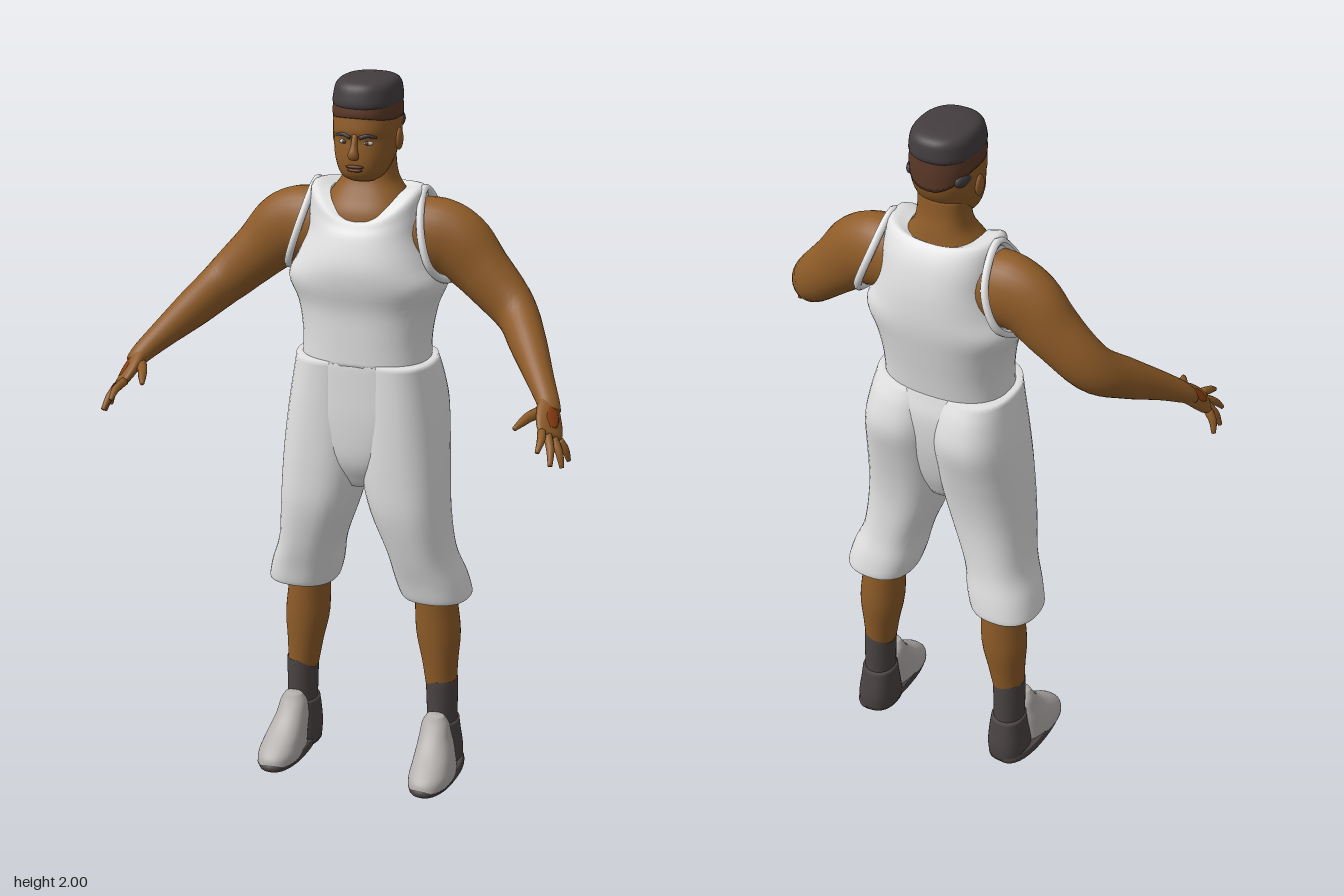
import * as THREE from 'three';

const mat = (name, color) => {
  const m = new THREE.MeshStandardMaterial({ color });
  m.name = name;
  return m;
};

// Closed skin over a list of rings (arrays of Vector3 with equal length)
function skin(rings, capEnd = true) {
  const n = rings[0].length, pos = [], idx = [];
  rings.forEach(r => r.forEach(p => pos.push(p.x, p.y, p.z)));
  for (let i = 0; i < rings.length - 1; i++) {
    for (let j = 0; j < n; j++) {
      const a = i * n + j, b = i * n + (j + 1) % n;
      idx.push(a, a + n, b, b, a + n, b + n);
    }
  }
  const cap = (ring, start, flip) => {
    const c = ring.reduce((s, p) => s.add(p), new THREE.Vector3()).divideScalar(n);
    const k = pos.length / 3;
    pos.push(c.x, c.y, c.z);
    for (let j = 0; j < n; j++) {
      const a = start + j, b = start + (j + 1) % n;
      if (flip) idx.push(k, b, a); else idx.push(k, a, b);
    }
  };
  cap(rings[0], 0, false);
  if (capEnd) cap(rings[rings.length - 1], (rings.length - 1) * n, true);
  const g = new THREE.BufferGeometry();
  g.setAttribute('position', new THREE.Float32BufferAttribute(pos, 3));
  g.setIndex(idx);
  g.computeVertexNormals();
  return g;
}

const curveOf = pts => new THREE.CatmullRomCurve3(pts, false, 'catmullrom', 0.5);

// Upright loft, rows: [y, centreX, halfWidth, frontZ, backZ, frontDip, backDip]
function loft(rows, { n = 36, sub = 4, e = 0.85, capEnd = true } = {}) {
  const A = curveOf(rows.map(r => new THREE.Vector3(r[0], r[1], r[2])));
  const B = curveOf(rows.map(r => new THREE.Vector3(r[3], r[4], 0)));
  const C = curveOf(rows.map(r => new THREE.Vector3(r[5] || 0, r[6] || 0, 0)));
  const rings = [], steps = (rows.length - 1) * sub;
  const pw = v => Math.sign(v) * Math.pow(Math.abs(v), e);
  for (let i = 0; i <= steps; i++) {
    const t = i / steps, a = A.getPoint(t), b = B.getPoint(t), d = C.getPoint(t), ring = [];
    for (let j = 0; j < n; j++) {
      const q = j / n * Math.PI * 2, s = Math.sin(q);
      ring.push(new THREE.Vector3(
        a.y + a.z * pw(Math.cos(q)),
        a.x - (s > 0 ? d.x : d.y) * s * s,
        (b.x + b.y) / 2 + (b.x - b.y) / 2 * pw(s)));
    }
    rings.push(ring);
  }
  return skin(rings, capEnd);
}

// Limb along a path, rows: [x, y, z, sideRadius, refRadius]
function limb(rows, ref = new THREE.Vector3(0, 1, 0), n = 20, sub = 4) {
  const A = curveOf(rows.map(r => new THREE.Vector3(r[0], r[1], r[2])));
  const B = curveOf(rows.map(r => new THREE.Vector3(r[3], r[4], 0)));
  const rings = [], steps = (rows.length - 1) * sub;
  for (let i = 0; i <= steps; i++) {
    const t = i / steps, c = A.getPoint(t), r = B.getPoint(t), dir = A.getTangent(t);
    const S = new THREE.Vector3().crossVectors(dir, ref).normalize();
    const U = new THREE.Vector3().crossVectors(S, dir);
    rings.push(Array.from({ length: n }, (_, j) => {
      const q = j / n * Math.PI * 2;
      return c.clone().addScaledVector(S, r.x * Math.cos(q)).addScaledVector(U, r.y * Math.sin(q));
    }));
  }
  return skin(rings);
}

const blob = (x, y, z, rx, ry, rz) =>
  new THREE.SphereGeometry(1, 20, 14).scale(rx, ry, rz).translate(x, y, z);

// Copy of a geometry reflected to the other side
function mirrored(g) {
  const m = g.clone().scale(-1, 1, 1), ix = m.index.array;
  for (let i = 0; i < ix.length; i += 3) [ix[i], ix[i + 1]] = [ix[i + 1], ix[i]];
  m.computeVertexNormals();
  return m;
}

export function createModel() {
  const root = new THREE.Group();
  const skinM = mat('skin', 0x8f5c28), cloth = mat('white cloth', 0xe2e2e2);
  const hairM = mat('dark hair', 0x433d3f), fadeM = mat('faded hair', 0x5a3826);
  const sockM = mat('dark sock', 0x4a4343), shoeM = mat('grey shoe', 0xb3afad);
  const lipM = mat('dark skin', 0x5c3819), eyeM = mat('eye white', 0xc9bfb2);
  const redM = mat('reddish skin', 0x8f3f12);
  cloth.side = THREE.DoubleSide;
  const add = (name, g, m) => {
    const o = new THREE.Mesh(g, m);
    o.name = name;
    root.add(o);
  };
  const pair = (name, g, m) => {
    add('left ' + name, g, m);
    add('right ' + name, mirrored(g), m);
  };

  // Tank top with scooped collar and armhole rims
  add('tank top', loft([
    [1.22, 0, .178, .017, -.232], [1.30, 0, .178, .017, -.245], [1.38, 0, .192, .019, -.26],
    [1.45, 0, .218, .034, -.272], [1.51, 0, .19, .036, -.275], [1.58, 0, .165, .014, -.27],
    [1.65, 0, .16, -.002, -.252, .045, 0], [1.705, 0, .15, -.012, -.222, .085, .01],
    [1.695, 0, .098, -.02, -.205, .072, .01]], { capEnd: false, n: 48 }), cloth);
  const rim = [[.152, 1.70, -.135], [.168, 1.61, -.05], [.198, 1.51, -.04],
    [.228, 1.46, -.125], [.205, 1.51, -.228], [.168, 1.61, -.228]];
  const rimCurve = new THREE.CatmullRomCurve3(rim.map(p => new THREE.Vector3(...p)), true);
  pair('armhole rim', new THREE.TubeGeometry(rimCurve, 48, .011, 8, true), cloth);

  // Neck and upper chest
  add('neck', loft([
    [1.58, 0, .13, -.012, -.235], [1.64, 0, .125, -.022, -.225], [1.68, 0, .106, -.045, -.208],
    [1.72, 0, .078, -.066, -.2], [1.76, 0, .069, -.075, -.192], [1.81, 0, .067, -.08, -.19]]), skinM);

  // Head and face
  add('head', loft([
    [1.728, 0, .035, -.04, -.11], [1.74, 0, .053, -.02, -.13], [1.76, 0, .066, -.01, -.155],
    [1.79, 0, .077, -.007, -.18], [1.82, 0, .083, -.009, -.2], [1.845, 0, .086, -.011, -.21],
    [1.865, 0, .087, -.004, -.214], [1.90, 0, .087, -.008, -.217], [1.95, 0, .08, -.015, -.21]]), skinM);
  add('nose', limb([[0, 1.86, -.01, .007, .006], [0, 1.83, -.002, .009, .01],
    [0, 1.808, .004, .015, .012], [0, 1.797, -.002, .012, .007]], new THREE.Vector3(0, 0, 1)), skinM);
  add('upper lip', blob(0, 1.774, -.008, .025, .005, .007), lipM);
  add('lower lip', blob(0, 1.765, -.009, .021, .005, .008), lipM);
  pair('ear', blob(.088, 1.835, -.11, .009, .03, .019), skinM);
  pair('eye', blob(.033, 1.838, -.019, .014, .006, .007), eyeM);
  pair('pupil', blob(.032, 1.838, -.0145, .006, .0055, .004), hairM);
  pair('eyebrow', limb([[.013, 1.852, -.007, .004, .005], [.034, 1.859, -.01, .004, .005],
    [.056, 1.853, -.022, .003, .003]]), hairM);

  // Flat-topped hair above a faded band
  add('faded band', loft([
    [1.893, 0, .0875, -.007, -.2185, -.01, .045], [1.915, 0, .089, -.006, -.22, 0, .02],
    [1.94, 0, .086, -.01, -.217]]), fadeM);
  add('hair top', loft([
    [1.922, 0, .08, -.012, -.21], [1.934, 0, .088, -.005, -.221], [1.955, 0, .087, -.007, -.221],
    [1.98, 0, .081, -.015, -.216], [1.994, 0, .066, -.035, -.195], [2.0, 0, .03, -.075, -.15]]), hairM);
  pair('hair patch', blob(.068, 1.875, -.155, .017, .022, .04), hairM);

  // Arms
  pair('arm', limb([
    [.13, 1.57, -.135, .085, .10], [.19, 1.572, -.138, .08, .105], [.25, 1.55, -.138, .072, .098],
    [.32, 1.485, -.135, .064, .08], [.415, 1.395, -.112, .055, .066], [.475, 1.335, -.035, .049, .055],
    [.535, 1.275, .055, .037, .038], [.575, 1.232, .112, .03, .027], [.585, 1.212, .132, .03, .018]],
    undefined, 28, 5), skinM);

  // Hands: palm, four fingers and thumb
  const back = new THREE.Vector3(.7, .65, .3).normalize();
  pair('palm', limb([[.572, 1.235, .108, .026, .022], [.583, 1.213, .135, .036, .019],
    [.595, 1.185, .165, .041, .016], [.606, 1.164, .19, .036, .011]], back), skinM);
  const fingers = {
    'index finger': [[.585, 1.18, .2], [.594, 1.15, .27]],
    'middle finger': [[.599, 1.17, .193], [.625, 1.112, .255]],
    'ring finger': [[.612, 1.16, .183], [.643, 1.092, .207]],
    'little finger': [[.623, 1.152, .17], [.647, 1.096, .158]],
  };
  for (const [name, [a, b]] of Object.entries(fingers)) {
    const mid = a.map((v, i) => (v + b[i]) / 2 + back.getComponent(i) * .006);
    pair(name, limb([[...a, .012, .012], [...mid, .0105, .0105], [...b, .006, .006]], back, 10), skinM);
  }
  pair('thumb', limb([[.57, 1.213, .13, .018, .016], [.545, 1.208, .17, .014, .013],
    [.532, 1.2, .2, .011, .011], [.52, 1.19, .228, .006, .006]], back, 10), skinM);
  pair('hand back patch', limb([[.59, 1.236, .127, .008, .003], [.601, 1.207, .155, .02, .004],
    [.609, 1.187, .176, .01, .003]], back, 10), redM);

  // Knee-length shorts: two legs joined by the pelvis
  pair('shorts leg', loft([
    [.61, .19, .078, -.06, -.215], [.55, .197, .088, -.05, -.23], [.545, .197, .097, -.041, -.24],
    [.60, .182, .099, -.028, -.234], [.68, .16, .092, -.006, -.22], [.80, .132, .108, .018, -.218],
    [.90, .117, .118, .022, -.23], [1.0, .109, .119, .022, -.252], [1.1, .104, .113, .02, -.274],
    [1.18, .098, .105, .017, -.26], [1.236, .094, .098, .015, -.235]]), cloth);
  add('shorts pelvis', loft([
    [.87, 0, .05, -.03, -.18], [.95, 0, .13, .01, -.215], [1.06, 0, .195, .02, -.242],
    [1.16, 0, .2, .019, -.25], [1.22, 0, .193, .018, -.239], [1.237, 0, .19, .016, -.235]]), cloth);

  // Lower legs and socks
  pair('lower leg', loft([
    [.25, .21, .043, -.106, -.198], [.33, .204, .051, -.1, -.211], [.42, .197, .063, -.094, -.222],
    [.54, .188, .058, -.09, -.22], [.64, .18, .06, -.08, -.21]], { e: 1 }), skinM);
  pair('sock', loft([
    [.08, .212, .044, -.1, -.205], [.16, .213, .043, -.104, -.203], [.27, .211, .045, -.103, -.202],
    [.274, .211, .043, -.106, -.199]], { e: 1 }), sockM);

  // Shoes: sole, grey front upper and dark heel
  pair('shoe sole', loft([
    [0, .225, .045, .06, -.2], [.008, .227, .058, .08, -.215], [.02, .227, .061, .086, -.22],
    [.034, .226, .058, .078, -.216]]), sockM);
  pair('shoe upper', loft([
    [.02, .228, .059, .083, -.135], [.045, .227, .059, .075, -.135], [.07, .225, .055, .045, -.135],
    [.1, .221, .05, .002, -.135], [.13, .217, .044, -.03, -.13], [.165, .215, .038, -.055, -.118],
    [.19, .215, .024, -.068, -.1]]), shoeM);
  pair('shoe heel', loft([
    [.015, .217, .055, -.08, -.22], [.06, .215, .055, -.09, -.222], [.11, .213, .05, -.1, -.215],
    [.15, .213, .046, -.105, -.208]]), sockM);

  return root;
}
